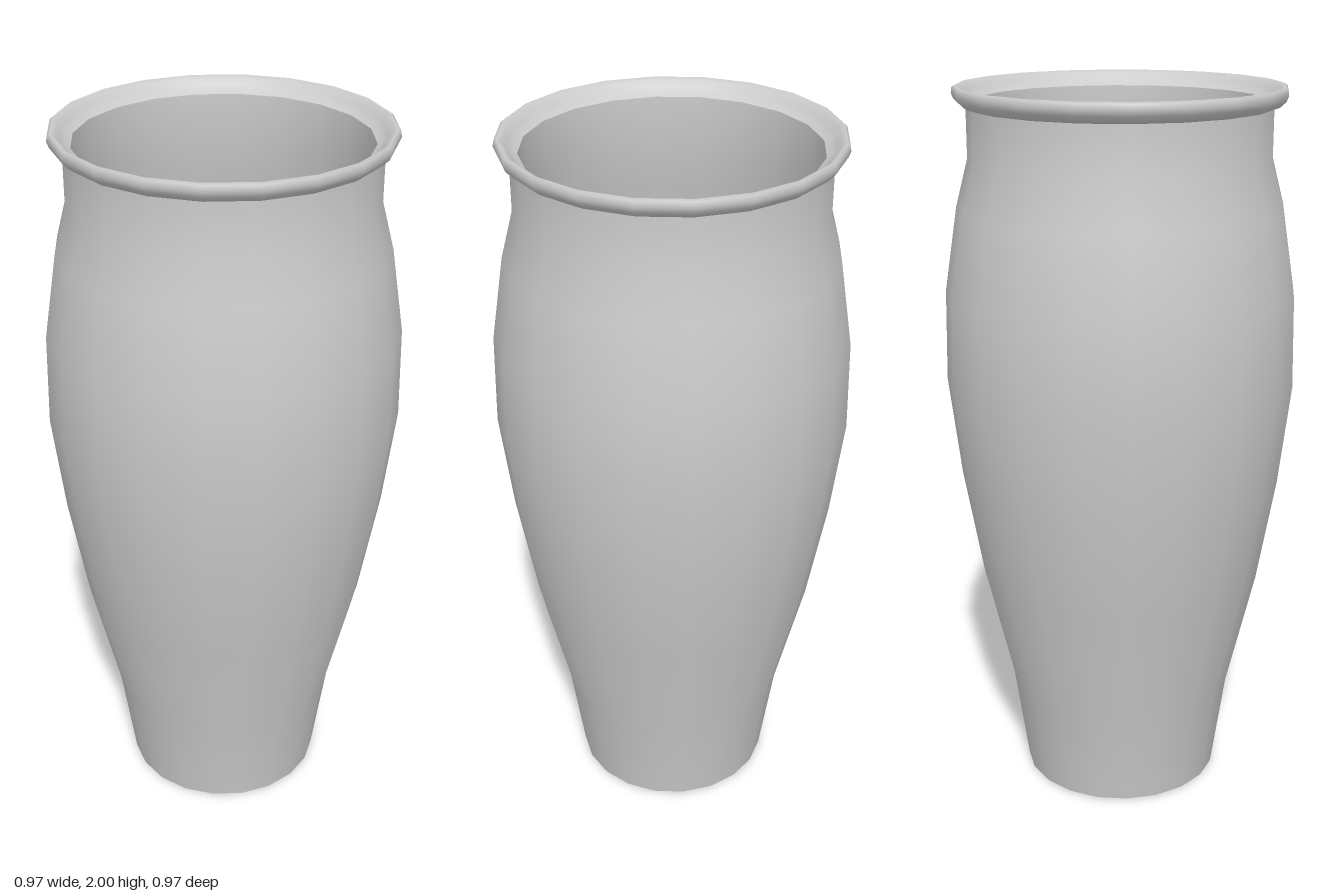
import * as THREE from 'three';

const SIDES = 20;
const material = new THREE.MeshStandardMaterial({ color: 0xcccccc });

// Revolve a [radius, height] profile; separate meshes keep the edges between them sharp.
function turned(name, profile) {
  const points = profile.map(([r, y]) => new THREE.Vector2(r, y));
  const mesh = new THREE.Mesh(new THREE.LatheGeometry(points, SIDES), material);
  mesh.name = name;
  return mesh;
}

// Flat disc facing up or down, its corners matching the lathe sections.
function disc(name, radius, y, up) {
  const mesh = new THREE.Mesh(new THREE.CircleGeometry(radius, SIDES), material);
  mesh.rotation.x = up ? -Math.PI / 2 : Math.PI / 2;
  mesh.position.y = y;
  mesh.name = name;
  return mesh;
}

export function createModel() {
  const vase = new THREE.Group();
  vase.name = 'vase';

  // Outer body from foot to neck
  const outer = [
    [0.28, 0], [0.32, 0.28], [0.4, 0.62], [0.452, 0.92], [0.485, 1.2],
    [0.48, 1.45], [0.444, 1.68], [0.41, 1.81], [0.41, 1.945],
  ];
  // Rolled lip, from the outside of the neck over to the inside
  const lip = [
    [0.41, 1.945], [0.425, 1.95], [0.441, 1.965], [0.447, 1.98], [0.445, 1.995],
    [0.438, 2], [0.425, 1.993], [0.415, 1.98], [0.402, 1.968], [0.388, 1.96],
  ];
  // Inner wall follows the body at a constant thickness
  const inner = [
    [0.388, 1.96], [0.385, 1.81], [0.422, 1.68], [0.458, 1.45], [0.463, 1.2],
    [0.43, 0.92], [0.378, 0.62], [0.298, 0.28], [0.26, 0.025],
  ];

  vase.add(
    turned('body', outer),
    turned('lip', lip),
    turned('innerWall', inner),
    disc('base', 0.28, 0, false),
    disc('innerFloor', 0.26, 0.025, true),
  );
  return vase;
}
